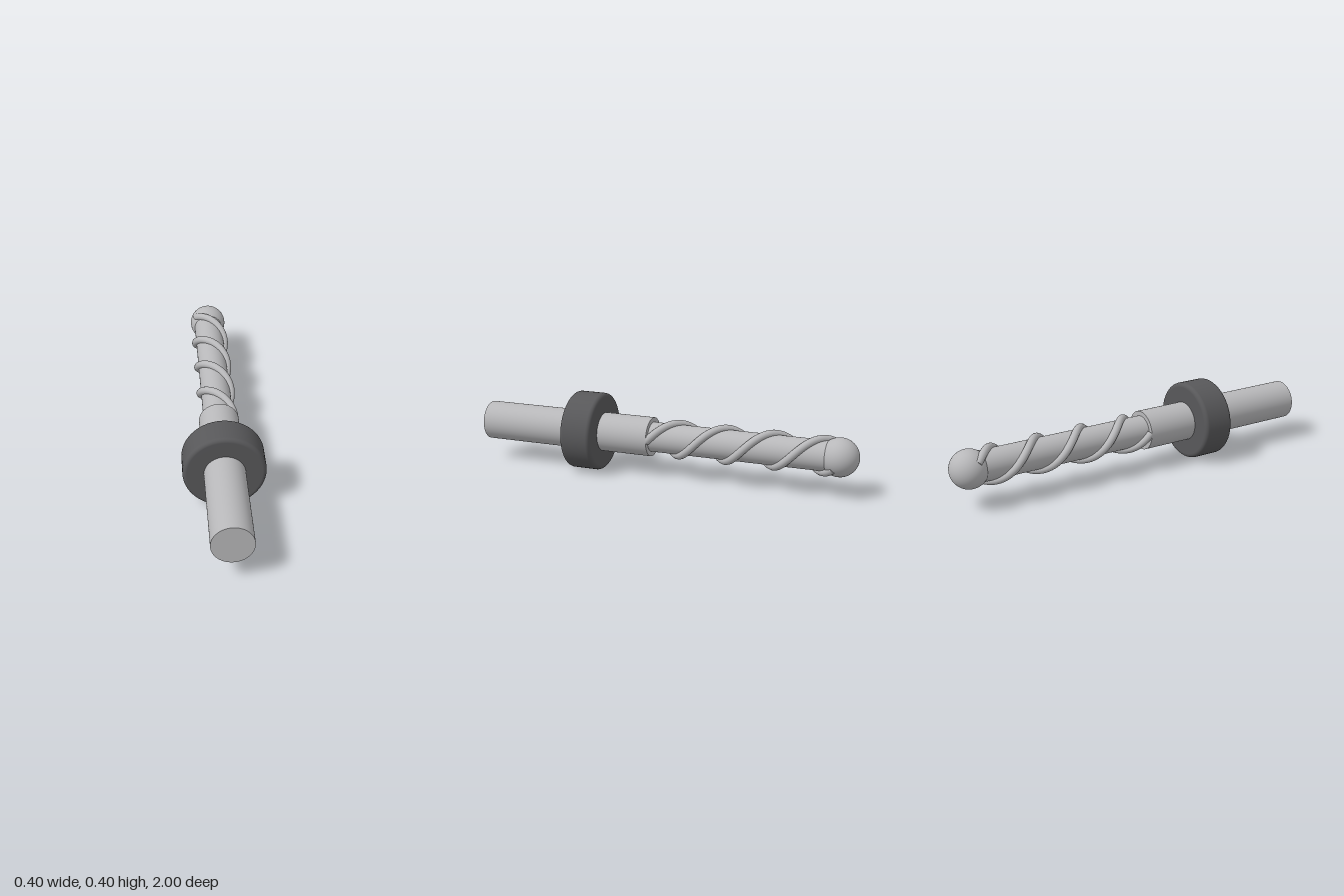
import * as THREE from 'three';

const steel = new THREE.MeshStandardMaterial({ color: 0xb8b8ba });
steel.name = 'steel grey';
const rubber = new THREE.MeshStandardMaterial({ color: 0x58585a });
rubber.name = 'dark grey';

const AXIS_Y = 0.2; // height of the tool axis

function add(parent, name, geometry, material) {
  const mesh = new THREE.Mesh(geometry, material);
  mesh.name = name;
  parent.add(mesh);
  return mesh;
}

// Closed cylinder lying along z
function rod(radius, z0, z1) {
  return new THREE.CylinderGeometry(radius, radius, z1 - z0, 64)
    .rotateX(Math.PI / 2)
    .translate(0, 0, (z0 + z1) / 2);
}

// Ring with rounded outer edges, turned about z
function collarGeometry(inner, outer, z0, z1, round) {
  const points = [new THREE.Vector2(inner, z0), new THREE.Vector2(inner, z0), new THREE.Vector2(outer - round, z0)];
  for (const [centre, start] of [[z0 + round, -Math.PI / 2], [z1 - round, 0]]) {
    for (let i = 0; i <= 6; i++) {
      const a = start + (i / 6) * Math.PI / 2;
      points.push(new THREE.Vector2(outer - round + round * Math.cos(a), centre + round * Math.sin(a)));
    }
  }
  points.push(new THREE.Vector2(inner, z1));
  return new THREE.LatheGeometry(points.slice(1), 64).rotateX(Math.PI / 2);
}

// Spiral wire wound around the core
class Helix extends THREE.Curve {
  constructor(radius, z0, z1, pitch, phase) {
    super();
    Object.assign(this, { radius, z0, z1, pitch, phase });
  }
  getPoint(t, target = new THREE.Vector3()) {
    const z = this.z0 + (this.z1 - this.z0) * t;
    const a = this.phase - ((z + 0.185) / this.pitch) * Math.PI * 2;
    return target.set(this.radius * Math.cos(a), this.radius * Math.sin(a), z);
  }
}

export function createModel() {
  const model = new THREE.Group();
  model.name = 'spiralTool';
  const body = new THREE.Group();
  body.name = 'body';
  body.position.y = AXIS_Y;
  model.add(body);

  // Handle shank, grip collar, thinner core and ball tip
  add(body, 'shank', rod(0.1, 0.065, 1), steel);
  add(body, 'collar', collarGeometry(0.095, 0.2, 0.335, 0.5, 0.02), rubber);
  add(body, 'core', rod(0.076, -0.88, 0.08), steel);
  add(body, 'ballTip', new THREE.SphereGeometry(0.096, 48, 32).rotateX(Math.PI / 2).translate(0, 0, -0.904), steel);

  // Two interleaved spiral flutes, half a turn apart
  for (let i = 0; i < 2; i++) {
    const path = new Helix(0.08, 0.07, -0.89, 0.5, i * Math.PI);
    add(body, 'spiral' + (i + 1), new THREE.TubeGeometry(path, 160, 0.02, 16), steel);
    const cap = add(body, 'spiralEnd' + (i + 1), new THREE.CircleGeometry(0.02, 16), steel);
    const end = path.getPoint(1);
    cap.position.copy(end);
    cap.quaternion.setFromUnitVectors(new THREE.Vector3(0, 0, 1), path.getTangent(1));
  }
  return model;
}
